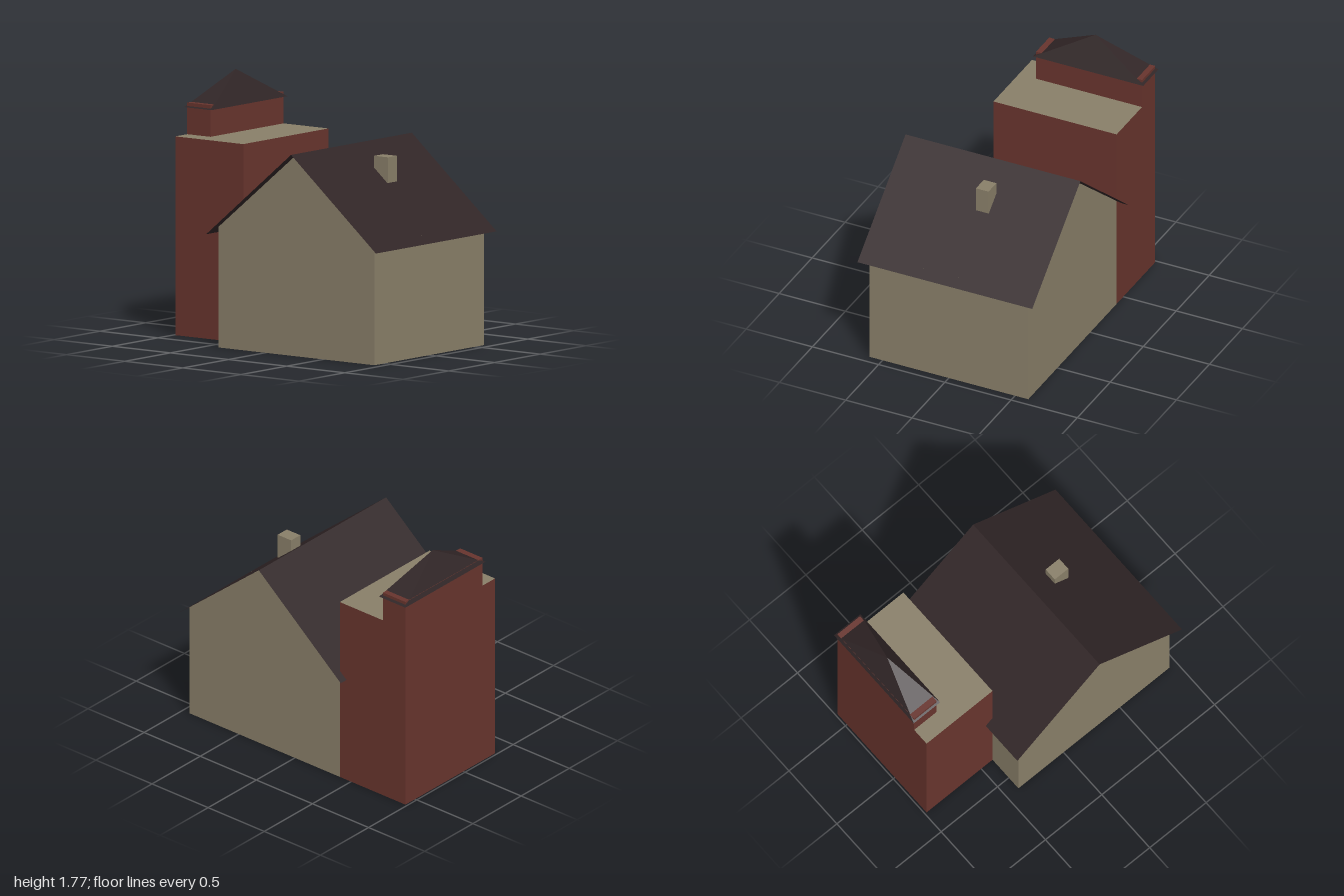
import * as THREE from 'three';

const flat = (name, color) => {
  const m = new THREE.MeshStandardMaterial({ color, side: THREE.DoubleSide, flatShading: true });
  m.name = name;
  return m;
};

// Thin sheet made from convex polygons, each a list of corners in order
function sheet(name, material, polygons) {
  const pos = [];
  for (const p of polygons)
    for (let i = 1; i < p.length - 1; i++) pos.push(...p[0], ...p[i], ...p[i + 1]);
  const g = new THREE.BufferGeometry();
  g.setAttribute('position', new THREE.Float32BufferAttribute(pos, 3));
  g.computeVertexNormals();
  const mesh = new THREE.Mesh(g, material);
  mesh.name = name;
  return mesh;
}

// Upright wall between two ground points [x, z]
const wall = ([xa, za], [xb, zb], y0, y1) =>
  [[xa, y0, za], [xb, y0, zb], [xb, y1, zb], [xa, y1, za]];

// Four walls around a rectangle, open above and below, in outward order
function ring(x0, x1, z0, z1, y0, y1) {
  const c = [[x0, z1], [x1, z1], [x1, z0], [x0, z0]];
  return c.map((p, i) => wall(p, c[(i + 1) % 4], y0, y1));
}

const lid = (x0, x1, z0, z1, y) => [[x0, y, z1], [x1, y, z1], [x1, y, z0], [x0, y, z0]];

export function createModel() {
  const plaster = flat('beige plaster', 0x887e68);
  const brick = flat('red brick', 0x67342d);
  const slate = flat('dark slate', 0x302526);

  const model = new THREE.Group();
  model.name = 'house';

  // House shell, open underneath; the tower closes the rest of its left-hand wall
  const L = -0.4, R = 0.94, mid = 0.27, eave = 0.825, peak = 1.377, D = 0.6, towerFront = 0.33;
  const gable = z => [[L, 0, z], [R, 0, z], [R, eave, z], [mid, peak, z], [L, eave, z]];
  model.add(sheet('houseWalls', plaster, [
    gable(D),
    gable(-D).reverse(),
    wall([R, D], [R, -D], 0, eave),
    wall([L, towerFront], [L, D], 0, eave),
  ]));

  // Overhanging sheet roof
  const ridge = 1.383, low = 0.775, O = 0.66;
  model.add(sheet('houseRoof', slate, [
    [[mid, ridge, O], [1, low, O], [1, low, -O], [mid, ridge, -O]],
    [[-0.46, low, O], [mid, ridge, O], [mid, ridge, -O], [-0.46, low, -O]],
  ]));

  // Small chimney on the +x slope
  const chimney = new THREE.Mesh(new THREE.BoxGeometry(0.12, 0.175, 0.095), plaster);
  chimney.name = 'chimney';
  chimney.position.set(0.51, 1.2275, -0.068);
  model.add(chimney);

  // Tall tower with a flat beige top
  const T = -0.985, H = 1.358;
  model.add(sheet('towerWalls', brick, ring(T, L, -D, towerFront, 0, H)));
  model.add(sheet('towerTop', plaster, [lid(T, L, -D, towerFront, H)]));

  // Narrow upper storey, its ends poking through the cap
  model.add(sheet('upperStorey', brick, [
    ...ring(T, -0.785, -D, 0.2, H, 1.574),
    lid(T, -0.785, -D, 0.2, 1.574),
  ]));

  // Four-sided cap roof
  const apex = [-0.883, 1.768, -0.2], y = 1.543;
  const base = [[-1, y, 0.214], [-0.766, y, 0.214], [-0.766, y, -0.618], [-1, y, -0.618]];
  model.add(sheet('towerRoof', slate, base.map((p, i) => [p, base[(i + 1) % 4], apex])));

  return model;
}
